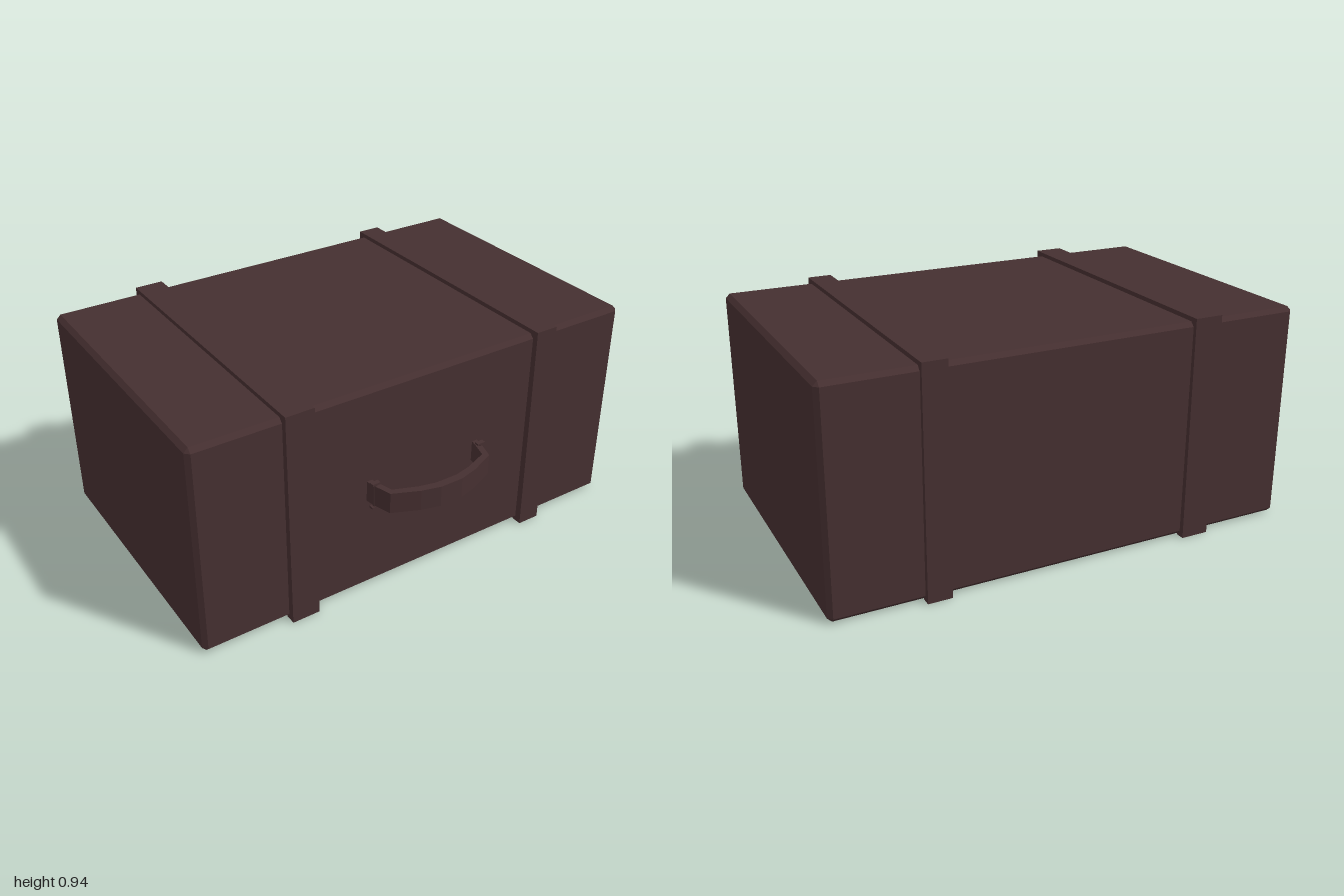
import * as THREE from 'three';
import { ConvexGeometry } from 'three/addons/geometries/ConvexGeometry.js';

const leather = new THREE.MeshStandardMaterial({ color: 0x452f30 });
leather.name = 'dark brown leather';

// Box with every edge and corner cut off by a flat chamfer
function chamferedBox(min, max, c) {
  const points = [];
  for (const sx of [0, 1]) for (const sy of [0, 1]) for (const sz of [0, 1]) {
    const s = [sx, sy, sz];
    for (let face = 0; face < 3; face++) {
      const p = s.map((side, i) => {
        const inset = i === face ? 0 : c;
        return side ? max[i] - inset : min[i] + inset;
      });
      points.push(new THREE.Vector3(...p));
    }
  }
  return new ConvexGeometry(points);
}

function extrude(points, depth) {
  const shape = new THREE.Shape(points.map(([x, y]) => new THREE.Vector2(x, y)));
  return new THREE.ExtrudeGeometry(shape, { depth, bevelEnabled: false });
}

function addMesh(parent, name, geometry) {
  const mesh = new THREE.Mesh(geometry, leather);
  mesh.name = name;
  parent.add(mesh);
  return mesh;
}

export function createModel() {
  const model = new THREE.Group();
  model.name = 'suitcase';

  // Case body
  addMesh(model, 'caseBody', chamferedBox([-1, 0.005, -0.695], [1, 0.92, 0.53], 0.018));

  // Straps: an inverted U over the back, top and front, open underneath
  const strapProfile = [
    [-0.717, 0], [-0.68, 0], [-0.68, 0.9], [0.515, 0.9],
    [0.515, 0], [0.56, 0], [0.554, 0.938], [-0.711, 0.938],
  ];
  for (const [name, from, to] of [['rightStrap', -0.63, -0.51], ['leftStrap', 0.527, 0.627]]) {
    const strap = extrude(strapProfile, to - from);
    strap.rotateY(-Math.PI / 2).translate(to, 0, 0);
    addMesh(model, name, strap);
  }

  // Handle: a curved band seen from above, as half outlines that are mirrored
  const handle = new THREE.Group();
  handle.name = 'handle';
  model.add(handle);
  const mirror = (half) => half.map(([x, z]) => [-x, z]).reverse();
  const outer = [[0.27, 0.525], [0.265, 0.56], [0.24, 0.645], [0.13, 0.693], [0.05, 0.714]];
  const inner = [[0.05, 0.68], [0.12, 0.664], [0.22, 0.625], [0.24, 0.555], [0.246, 0.525]];
  const outline = [...outer, ...mirror(outer), ...mirror(inner), ...inner];
  const band = extrude(outline, 0.09);
  band.rotateX(Math.PI / 2).translate(0, 0.515, 0);
  addMesh(handle, 'handleBand', band);

  // Small pins through the handle ends
  for (const side of [-1, 1]) {
    const pin = addMesh(handle, side < 0 ? 'rightPin' : 'leftPin',
      new THREE.CylinderGeometry(0.009, 0.009, 0.115, 8));
    pin.position.set(side * 0.256, 0.47, 0.567);
    for (const end of [-1, 1]) {
      const head = addMesh(handle, 'pinHead', new THREE.BoxGeometry(0.036, 0.008, 0.02));
      head.position.set(side * 0.256, 0.47 + end * 0.054, 0.567);
    }
  }

  return model;
}
